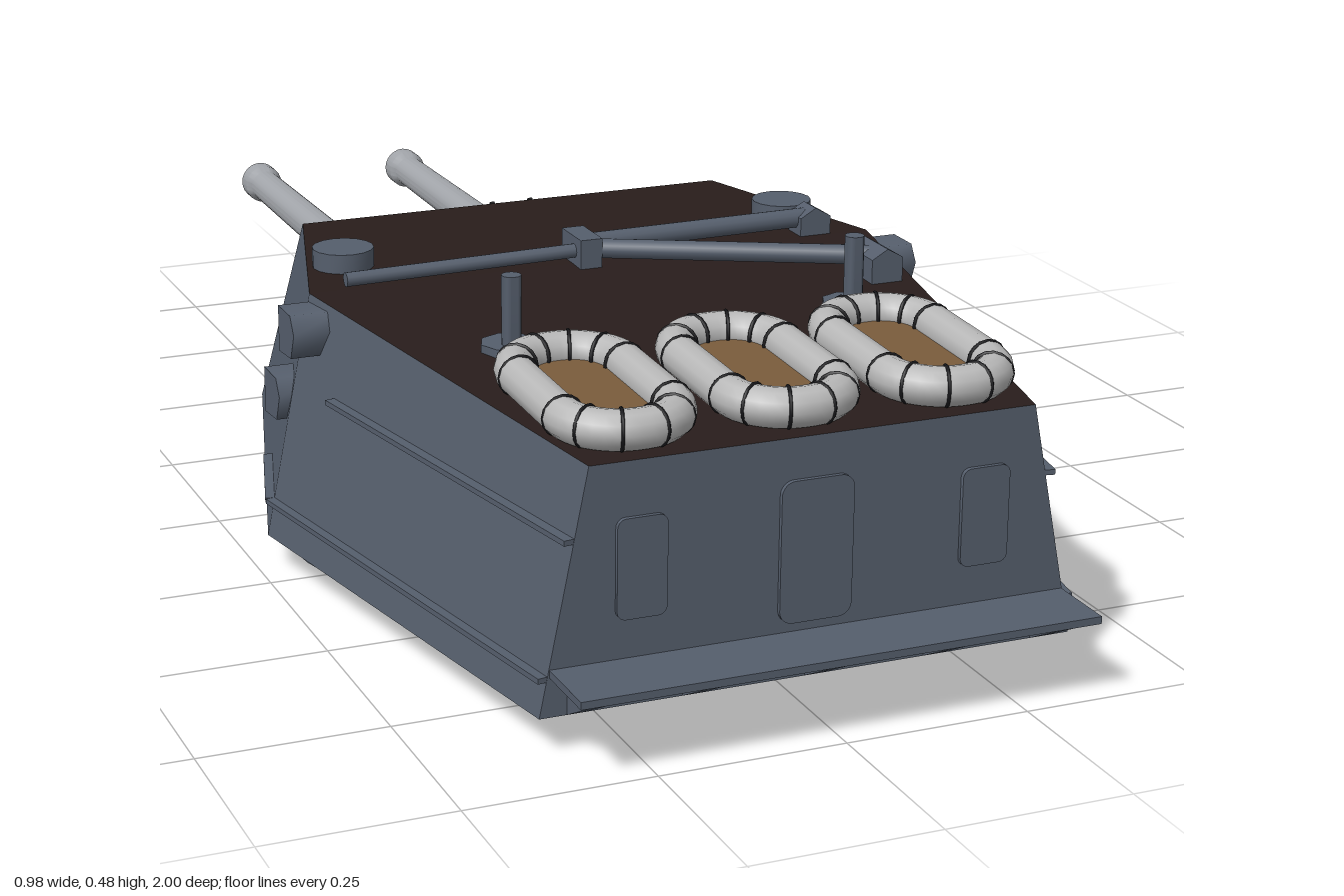
import * as THREE from 'three';
import { toCreasedNormals } from 'three/addons/utils/BufferGeometryUtils.js';

const mat = (name, color) => {
  const m = new THREE.MeshStandardMaterial({ color });
  m.name = name;
  return m;
};

export function createModel() {
  const root = new THREE.Group();
  root.name = 'gunTurret';
  const steel = mat('blue grey steel', 0x555e6c);
  const deck = mat('dark brown deck', 0x281d1b);
  const gunGrey = mat('gun grey', 0xa0a3a8);
  const canvas = mat('pale raft canvas', 0xb8b8b8);
  const wood = mat('raft floor wood', 0x7a5c3c);
  const tan = mat('tan bearing', 0xe2c8a8);
  const black = mat('black', 0x17171a);

  const add = (name, geo, material, x = 0, y = 0, z = 0, parent = root) => {
    const m = new THREE.Mesh(geo, material);
    m.name = name;
    m.position.set(x, y, z);
    parent.add(m);
    return m;
  };
  const box = (w, h, d) => new THREE.BoxGeometry(w, h, d);
  const cyl = (r, h, n = 24) => toCreasedNormals(new THREE.CylinderGeometry(r, r, h, n), 0.8);
  const lathe = (pts, n = 24) => toCreasedNormals(
    new THREE.LatheGeometry(pts.map(p => new THREE.Vector2(...p)), n), 0.5);
  // Place a mesh between two points, its z axis along the line
  const span = (name, a, b, makeGeo) => {
    const p = new THREE.Vector3(...a), q = new THREE.Vector3(...b);
    const m = add(name, makeGeo(p.distanceTo(q)), steel);
    m.position.copy(p).add(q).multiplyScalar(0.5);
    m.lookAt(q);
  };
  // Profile given as [z, y], extruded along x from x0
  const prism = (name, pts, x0, depth, crease) => {
    const shape = new THREE.Shape(pts.map(([z, y]) => new THREE.Vector2(-z, y)));
    const geo = new THREE.ExtrudeGeometry(shape, { depth, bevelEnabled: false });
    add(name, toCreasedNormals(geo, crease), steel, x0).rotation.y = Math.PI / 2;
  };
  const roundRect = (w, h, r) => {
    const s = new THREE.Shape(), a = w / 2 - r, b = h / 2 - r;
    s.absarc(a, b, r, 0, Math.PI / 2);
    s.absarc(-a, b, r, Math.PI / 2, Math.PI);
    s.absarc(-a, -b, r, Math.PI, Math.PI * 1.5);
    s.absarc(a, -b, r, Math.PI * 1.5, Math.PI * 2);
    s.closePath();
    return s;
  };
  const plate = (w, h, r, depth) => toCreasedNormals(new THREE.ExtrudeGeometry(
    roundRect(w, h, r), { depth, bevelEnabled: false, curveSegments: 8 }), 0.7);

  // Armoured house: six-sided lower and upper outlines joined by faces
  const mirror = a => [...a, ...a.map(([x, y, z]) => [-x, y, z]).reverse()];
  const low = mirror([[0.363, 0.05, 0.9], [0.487, 0.05, 0.2], [0.32, 0.05, -0.375]]);
  const top = mirror([[0.3, 0.365, 0.9], [0.42, 0.39, 0.2], [0.325, 0.39, -0.128]]);
  const faces = quads => {
    const g = new THREE.BufferGeometry();
    const pos = quads.flatMap(([a, b, c, d]) => [a, b, c, a, c, d].flat());
    g.setAttribute('position', new THREE.Float32BufferAttribute(pos, 3));
    g.computeVertexNormals();
    return g;
  };
  const walls = low.map((p, i) => {
    const j = (i + 1) % 6;
    return [p, low[j], top[j], top[i]];
  });
  walls.push([low[5], low[4], low[1], low[0]], [low[4], low[3], low[2], low[1]]);
  add('armourWalls', faces(walls), steel);
  add('roof', faces([[top[0], top[1], top[4], top[5]], [top[1], top[2], top[3], top[4]]]), deck);

  // Rotating base, open underneath, and the stepped bearing ring inside it
  add('baseRing', lathe([[0.447, 0.014], [0.447, 0.052]], 40), steel, 0, 0, 0.16);
  add('bearingRing', lathe([[0.412, 0.05], [0.412, 0], [0.425, 0], [0.425, 0.014], [0.447, 0.014]], 40),
    tan, 0, 0, 0.16);

  // Sloping face carries the gun slots and the ladder; local y runs up the slope
  const slope = new THREE.Group();
  slope.name = 'slopingFace';
  slope.position.set(0, 0.39, -0.128);
  slope.lookAt(0, 0.39 + 0.588, -0.128 - 0.809);
  root.add(slope);
  for (const s of [-1, 1]) {
    add('gunSlot', plate(0.11, 0.25, 0.055, 0.002), deck, s * 0.13, -0.172, 0, slope);
    add('gunApron', plate(0.11, 0.2, 0.055, 0.004), gunGrey, s * 0.13, -0.25, 0, slope);
    add('ladderRail', box(0.007, 0.415, 0.006), black, s * 0.03, -0.208, 0.001, slope);
  }
  for (let i = 0; i < 14; i++) {
    add('ladderRung', box(0.06, 0.011, 0.005), black, 0, -0.015 - i * 0.0295, 0.001, slope);
  }

  // Guns
  for (const s of [-1, 1]) {
    const gun = new THREE.Group();
    gun.name = 'gun';
    gun.position.set(s * 0.13, 0.215, 0);
    root.add(gun);
    add('mantlet', plate(0.1, 0.14, 0.05, 0.16), gunGrey, 0, -0.025, -0.33, gun);
    const barrel = add('barrel', lathe([
      [0.048, 0.2], [0.048, 0.335], [0.037, 0.345], [0.037, 0.47], [0.029, 0.478],
      [0.025, 0.96], [0.031, 0.972], [0.031, 0.998], [0.018, 0.998], [0.018, 0.95], [0, 0.95]]),
    gunGrey, 0, 0, 0, gun);
    barrel.rotation.x = -Math.PI / 2;
    const rim = add('muzzleRim', new THREE.RingGeometry(0.018, 0.031, 24), tan, 0, 0, -1, gun);
    rim.rotation.y = Math.PI;
  }

  // Side ridges, following the slanted walls
  const wallPoint = (s, y, z) => {
    const t = (y - 0.05) / 0.33;
    const lower = z > 0.2 ? 0.487 - 0.124 * (z - 0.2) / 0.7 : 0.487 - 0.167 * (0.2 - z) / 0.575;
    return [s * (lower - t * 0.064 + 0.002), y, z];
  };
  for (const s of [-1, 1]) {
    for (const [y, z0, z1] of [[0.272, 0.9, 0.31], [0.1, 0.9, 0.2], [0.1, 0.2, 0.03]]) {
      span('sideRidge', wallPoint(s, y, z0), wallPoint(s, y, z1), len => box(0.02, 0.007, len));
    }
    // Sight hoods with rounded backs
    for (const [z, y] of [[0.235, 0.347], [0.162, 0.237]]) {
      prism('sightHood', [[z + 0.035, y + 0.008], [z + 0.02, y + 0.032], [z - 0.033, y + 0.032],
        [z - 0.033, y - 0.032], [z + 0.02, y - 0.028]], s > 0 ? 0.39 : -0.465, 0.075, 1.3);
    }
  }

  // Rear wall: doors, and a ledge standing on brackets
  add('rearDoor', plate(0.098, 0.186, 0.018, 0.006), steel, 0, 0.218, 0.9);
  for (const s of [-1, 1]) add('rearHatch', plate(0.066, 0.13, 0.012, 0.006), steel, s * 0.232, 0.229, 0.9);
  add('rearLedge', box(0.7, 0.01, 0.1), steel, 0, 0.107, 0.95);
  for (const x of [-0.317, -0.165, 0, 0.165, 0.317]) {
    prism('ledgeBracket', [[1, 0.103], [0.9, 0.103], [0.9, 0.05]], x - 0.01, 0.02, 0.3);
  }

  // Rooftop fittings
  for (const s of [-1, 1]) {
    add('roofHatch', cyl(0.043, 0.03, 16), steel, s * 0.336, 0.402, 0.092);
    add('postBase', cyl(0.038, 0.014, 8), steel, s * 0.245, 0.383, 0.495);
    add('post', cyl(0.013, 0.1, 16), steel, s * 0.245, 0.433, 0.505);
  }

  // Boom with two stays ending in six-sided feet
  const rod = (a, b, r) => span('boomRod', a, b,
    len => new THREE.CylinderGeometry(r, r, len, 12).rotateX(Math.PI / 2));
  rod([-0.37, 0.405, 0.205], [-0.02, 0.41, 0.205], 0.01);
  rod([-0.02, 0.412, 0.183], [0.34, 0.412, 0.176], 0.014);
  rod([-0.02, 0.412, 0.205], [0.34, 0.412, 0.385], 0.014);
  add('boomHub', box(0.032, 0.045, 0.07), steel, -0.02, 0.408, 0.195);
  for (const [z, len] of [[0.178, 0.04], [0.385, 0.072]]) {
    add('stayFoot', cyl(0.027, len, 6).rotateX(Math.PI / 2), steel, 0.34, 0.403, z);
    add('stayFootBase', box(0.046, 0.03, len), steel, 0.34, 0.396, z);
  }

  // Life rafts: padded oval tubes with bands round the ends and a wooden floor
  const oval = roundRect(0.144, 0.284, 0.068).getSpacedPoints(48).slice(0, -1);
  const path = new THREE.CatmullRomCurve3(oval.map(p => new THREE.Vector3(p.x, 0, p.y)), true);
  const tube = new THREE.TubeGeometry(path, 64, 0.026, 12, true);
  const band = new THREE.TorusGeometry(0.0258, 0.0025, 6, 16);
  const floor = plate(0.12, 0.26, 0.06, 0.008).rotateX(-Math.PI / 2);
  for (const x of [-0.22, 0, 0.216]) {
    const raft = new THREE.Group();
    raft.name = 'lifeRaft';
    raft.position.set(x, 0.395, 0.722);
    raft.rotation.x = 0.035;
    root.add(raft);
    add('raftTube', tube, canvas, 0, 0, 0, raft);
    add('raftFloor', floor, wood, 0, -0.012, 0, raft);
    for (const end of [-1, 1]) {
      for (let i = 0; i < 6; i++) {
        const a = Math.PI * i / 5;
        const ring = add('raftBand', band, black, 0.071 * Math.cos(a), 0,
          end * (0.073 + 0.069 * Math.sin(a)), raft);
        ring.rotation.y = -end * a;
      }
    }
  }
  return root;
}
